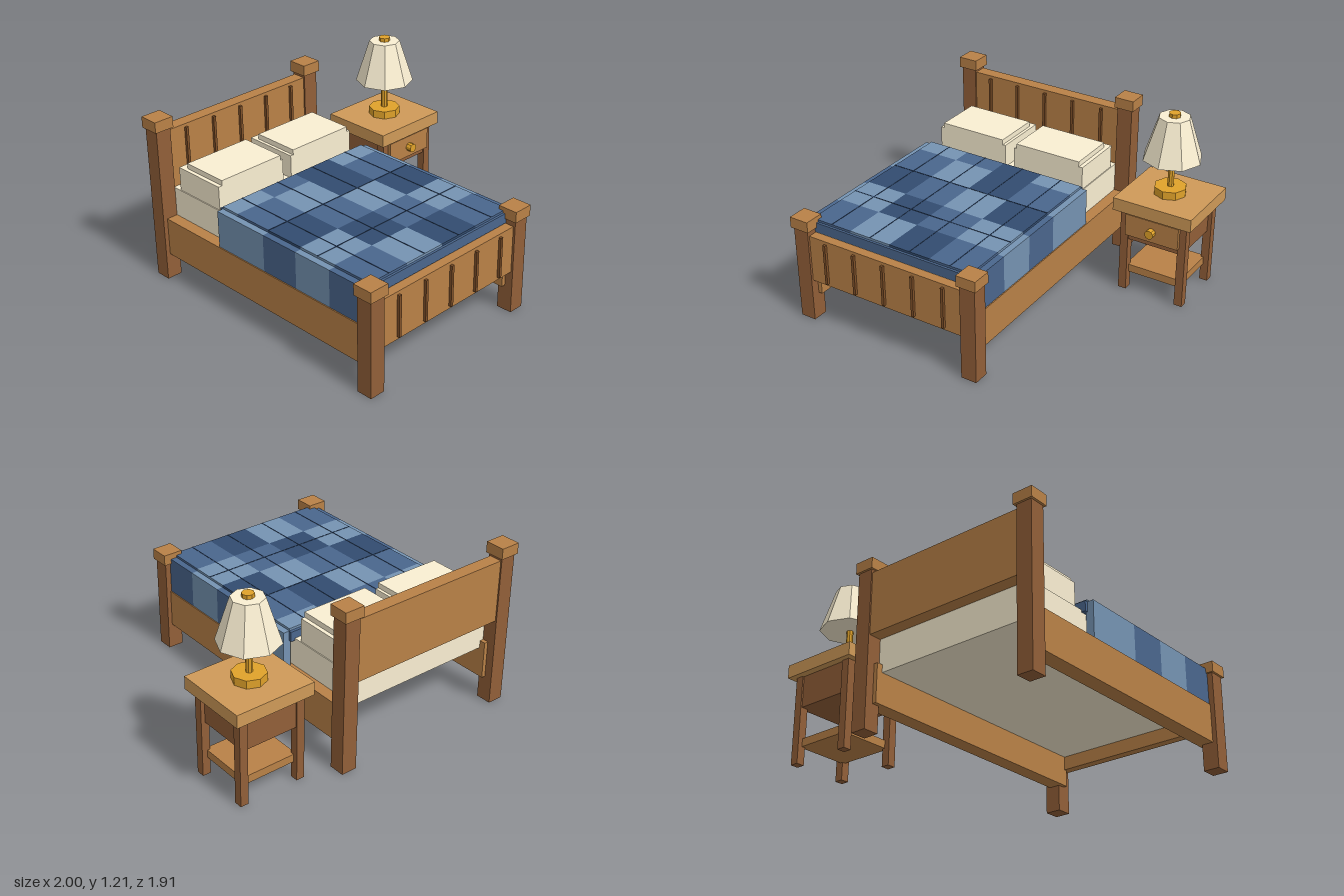
import * as THREE from 'three';

const mat = (color) => new THREE.MeshStandardMaterial({ color, flatShading: true });
const M = {
  wood: mat(0xb98147), dark: mat(0x925f38), table: mat(0xcf9a58), slat: mat(0x7f5028),
  cream: mat(0xfaefd2), gold: mat(0xe0a22a), seam: mat(0x263c5c),
  L: mat(0x7593b2), M: mat(0x4a668d), D: mat(0x324c70),
};

// Box given by its extents on each axis
function box(parent, name, m, [x0, x1], [y0, y1], [z0, z1]) {
  const mesh = new THREE.Mesh(new THREE.BoxGeometry(x1 - x0, y1 - y0, z1 - z0), m);
  mesh.position.set((x0 + x1) / 2, (y0 + y1) / 2, (z0 + z1) / 2);
  mesh.name = name;
  parent.add(mesh);
  return mesh;
}

// Upright cylinder or cone section between two heights
function drum(parent, name, m, rTop, rBottom, y0, y1, sides = 8) {
  const mesh = new THREE.Mesh(new THREE.CylinderGeometry(rTop, rBottom, y1 - y0, sides), m);
  mesh.position.y = (y0 + y1) / 2;
  mesh.name = name;
  parent.add(mesh);
  return mesh;
}

function group(parent, name) {
  const g = new THREE.Group();
  g.name = name;
  parent.add(g);
  return g;
}

const around = (c, half) => [c - half, c + half];

// Bed frame, centred on x = 0
function buildFrame(bed) {
  const frame = group(bed, 'bedFrame');
  for (const s of [-1, 1]) {
    for (const [end, z, top] of [['head', -0.892, 1.02], ['foot', 0.892, 0.628]]) {
      box(frame, end + 'Post', M.dark, around(s * 0.602, 0.052), [0, top], around(z, 0.052));
      box(frame, end + 'PostCap', M.wood, around(s * 0.602, 0.066), [top, top + 0.071], around(z, 0.065));
    }
    box(frame, 'sideRail', M.wood, around(s * 0.574, 0.051), [0.17, 0.42], [-0.89, 0.89]);
  }
  box(frame, 'headboard', M.wood, [-0.57, 0.57], [0.59, 1.0], [-0.935, -0.85]);
  box(frame, 'footboard', M.wood, [-0.57, 0.57], [0.28, 0.59], [0.87, 0.93]);
  for (let i = -2; i <= 2; i++) {
    box(frame, 'headboardSlat', M.slat, around(i * 0.214, 0.009), [0.61, 0.98], [-0.855, -0.832]);
    box(frame, 'footboardSlat', M.slat, around(i * 0.214, 0.009), [0.3, 0.57], [0.925, 0.948]);
  }
}

// Mattress and pillows
function buildBedding(bed) {
  box(bed, 'mattress', M.cream, [-0.549, 0.549], [0.37, 0.61], [-0.85, 0.87]);
  for (const s of [-1, 1]) {
    const pillow = group(bed, 'pillow');
    box(pillow, 'pillowBody', M.cream, around(s * 0.288, 0.255), [0.605, 0.765], [-0.79, -0.42]);
    box(pillow, 'pillowTop', M.cream, around(s * 0.285, 0.232), [0.765, 0.8], [-0.74, -0.418]);
  }
}

// Patchwork quilt: slab, coloured patches, side drapes and seams
function buildQuilt(bed) {
  const quilt = group(bed, 'quilt');
  const xs = [-0.575, -0.286, 0, 0.286, 0.575];
  const zs = [-0.35, -0.22, 0.05, 0.32, 0.59, 0.86];
  const rows = ['LMDL', 'MLDM', 'DMLD', 'LDML', 'MLDM'];
  const drape = ['L', 'L', 'M', 'L', 'M'];
  box(quilt, 'quiltSlab', M.M, [-0.577, 0.577], [0.595, 0.66], [-0.37, 0.875]);
  rows.forEach((row, r) => {
    const z = [zs[r], zs[r + 1]];
    [...row].forEach((c, i) => box(quilt, 'quiltPatch', M[c], [xs[i], xs[i + 1]], [0.655, 0.675], z));
    for (const s of [-1, 1]) box(quilt, 'quiltDrape', M[drape[r]], around(s * 0.592, 0.026), [0.42, 0.66], z);
  });
  // Stitched seams almost flush with the patches
  for (const x of [-0.429, -0.143, 0.143, 0.429]) {
    box(quilt, 'seam', M.seam, around(x, 0.003), [0.67, 0.677], [-0.35, 0.86]);
  }
  for (const z of [0.05, 0.456]) {
    box(quilt, 'crossSeam', M.seam, [-0.575, 0.575], [0.66, 0.677], around(z, 0.003));
  }
}

// Bedside table, centred on its own origin
function buildTable(table) {
  box(table, 'tableTop', M.table, [-0.267, 0.267], [0.57, 0.655], [-0.247, 0.247]);
  for (const sx of [-1, 1]) for (const sz of [-1, 1]) {
    box(table, 'tableLeg', M.dark, around(sx * 0.199, 0.027), [0, 0.57], around(sz * 0.183, 0.027));
  }
  box(table, 'drawerCase', M.dark, [-0.2, 0.2], [0.365, 0.57], [-0.2, 0.2]);
  box(table, 'drawerFront', M.wood, [-0.182, 0.182], [0.41, 0.557], [0.19, 0.232]);
  box(table, 'lowerShelf', M.wood, [-0.19, 0.19], [0.115, 0.167], [-0.18, 0.18]);
  const knob = drum(table, 'drawerKnob', M.gold, 0.029, 0.029, 0, 0.04, 10);
  knob.rotation.x = Math.PI / 2;
  knob.position.set(0, 0.48, 0.25);
}

// Lamp with faceted shade
function buildLamp(table) {
  const lamp = group(table, 'lamp');
  drum(lamp, 'lampBase', M.gold, 0.104, 0.104, 0.655, 0.707);
  drum(lamp, 'lampStem', M.gold, 0.021, 0.021, 0.7, 0.95);
  drum(lamp, 'lampShade', M.cream, 0.1, 0.19, 0.9, 1.18);
  drum(lamp, 'lampFinial', M.gold, 0.037, 0.037, 1.175, 1.205);
}

export function createModel() {
  const model = new THREE.Group();
  model.name = 'bedroomSet';
  const bed = group(model, 'bed');
  bed.position.x = -0.332;
  buildFrame(bed);
  buildBedding(bed);
  buildQuilt(bed);
  const table = group(model, 'bedsideTable');
  table.position.set(0.733, 0, -0.612);
  buildTable(table);
  buildLamp(table);
  return model;
}
